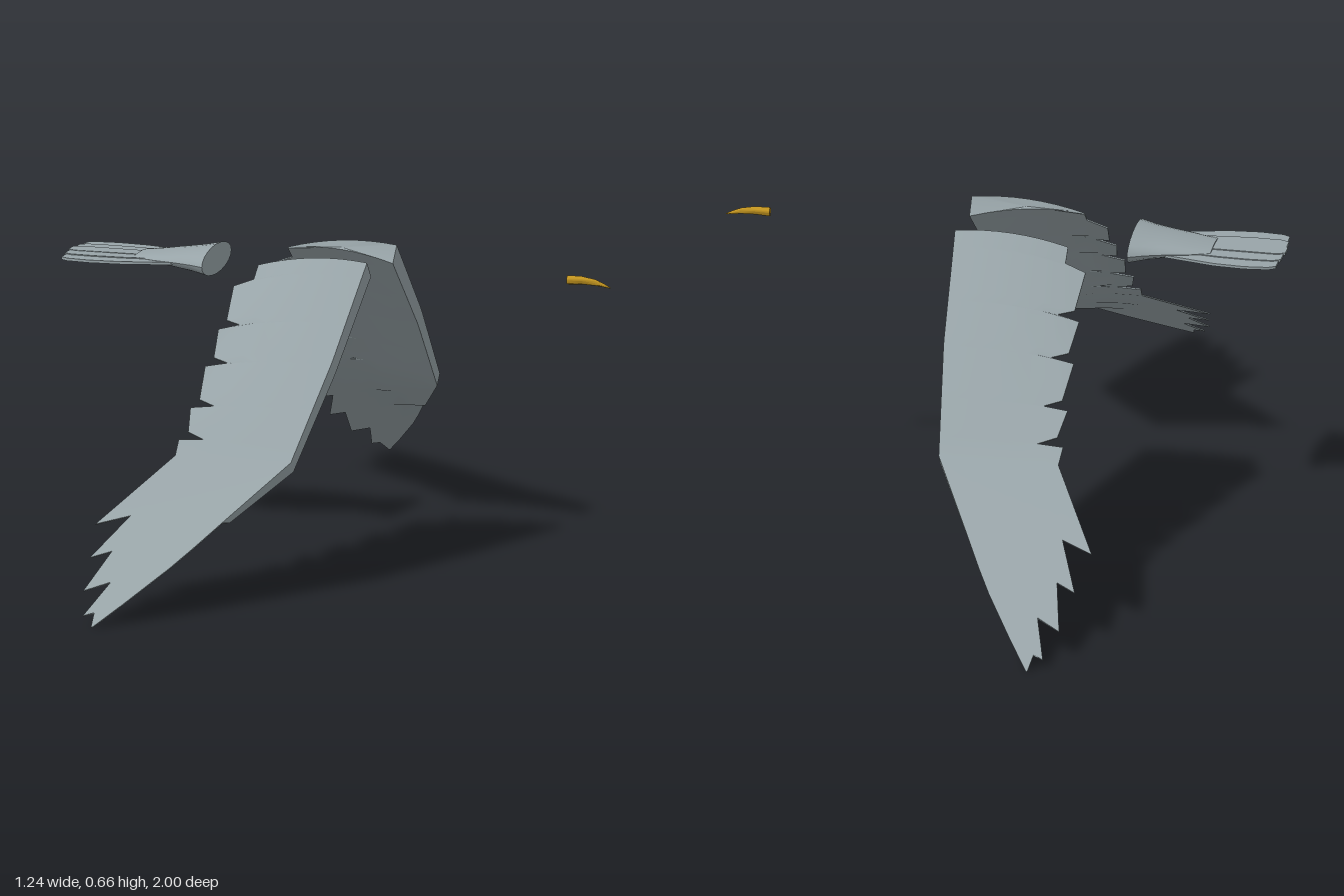
import * as THREE from 'three';
import { toCreasedNormals } from 'three/addons/utils/BufferGeometryUtils.js';

// Piecewise linear lookup in a list of [input, output]
function lookup(table, t) {
  for (let i = 1; i < table.length; i++) {
    const [a, va] = table[i - 1], [b, vb] = table[i];
    if (t <= b) return va + (vb - va) * Math.max(0, (t - a) / (b - a));
  }
  return table[table.length - 1][1];
}

// Skin over closed loops of [x, y, z] points, with fan caps at both ends
function loft(loops, flip = false, crease = 0.5) {
  const n = loops[0].length, pos = loops.flat(2), index = [];
  const tri = (a, b, c) => (flip ? index.push(a, c, b) : index.push(a, b, c));
  for (let i = 0; i < loops.length - 1; i++) {
    for (let j = 0; j < n; j++) {
      const a = i * n + j, b = i * n + (j + 1) % n;
      tri(a, b, b + n);
      tri(a, b + n, a + n);
    }
  }
  [0, loops.length - 1].forEach((row, end) => {
    const c = pos.length / 3;
    for (let k = 0; k < 3; k++) pos.push(loops[row].reduce((s, p) => s + p[k], 0) / n);
    for (let j = 0; j < n; j++) {
      const a = row * n + j, b = row * n + (j + 1) % n;
      if (end) tri(a, b, c); else tri(b, a, c);
    }
  });
  const g = new THREE.BufferGeometry();
  g.setAttribute('position', new THREE.Float32BufferAttribute(pos, 3));
  g.setIndex(index);
  return toCreasedNormals(g, crease);
}

// Wing rules by distance z from the middle
const leadX = [[0.1, 0.095], [0.3, 0.083], [0.5, 0.057], [0.69, -0.043], [0.8, -0.1], [0.92, -0.175], [1, -0.228]];
const height = [[0.1, 0.66], [0.5, 0.288], [1, 0.003]];
const thick = [[0.1, 0.045], [0.5, 0.03], [0.665, 0.018], [0.68, 0.003], [1, 0.003]];
const taper = [[0.1, 0.25], [0.5, 0.2], [0.67, 0.1], [1, 0.1]];

// Sections as [leading z, trailing x, trailing z]
function wingStations() {
  const list = [[0.1, -0.155, 0.1], [0.13, -0.155, 0.13]];
  // stepped feathers of the arm
  const cuts = [0.132, 0.225, 0.305, 0.395, 0.465];
  cuts.forEach((z, i) => {
    list.push([z + 0.002, -0.2 - 0.003 * i, z + 0.002]);
    if (i < cuts.length - 1) {
      const end = cuts[i + 1];
      list.push([end - 0.015, -0.19 - 0.002 * i, end - 0.015], [end, -0.155, end]);
    }
  });
  // fanned feathers of the hand
  list.push(
    [0.5, -0.208, 0.502], [0.54, -0.32, 0.71], [0.57, -0.25, 0.68],
    [0.665, -0.3, 0.805], [0.68, -0.257, 0.783], [0.76, -0.283, 0.9],
    [0.82, -0.23, 0.87], [0.93, -0.26, 0.97], [0.96, -0.238, 0.957], [1, -0.231, 1],
  );
  return list;
}

function wingGeometry(side) {
  const cols = 8;
  const loops = wingStations().map(([zl, xb, zb]) => {
    const xl = lookup(leadX, zl), top = [], bottom = [];
    for (let i = 0; i <= cols; i++) {
      const u = i / cols, x = xl + (xb - xl) * u, z = zl + (zb - zl) * u;
      const camber = Math.max(0, 1 - (z - 0.1) / 0.4) * (x - 0.02) ** 2 * 0.85;
      const y = lookup(height, z) - camber;
      const t = Math.max(0.003, lookup(thick, zl) * (1 - (xl - x) / lookup(taper, zl)));
      top.push([x, y, z * side]);
      bottom.unshift([x, y - 0.8 * t, (z - 0.6 * t) * side]);
    }
    return [...top, ...bottom];
  });
  return loft(loops, side > 0);
}

// Elliptical sections along x as [x, y, half height, half width]
function tube(sections, sides) {
  return loft(sections.map(([x, y, ry, rz]) => Array.from({ length: sides }, (_, i) => {
    const a = (i / sides) * Math.PI * 2;
    return [x, y + ry * Math.sin(a), rz * Math.cos(a)];
  })), false, 0.7);
}

// Thin tail feather bowed out to one side
function tailFeather(s) {
  const w = 0.024, end = -0.62 + Math.abs(s) * 0.004;
  const spread = [[0, 0.022], [0.5, 0.037], [0.75, 0.039], [1, 0.035]];
  const loops = [0, 0.25, 0.5, 0.75, 0.94, 1].map((t, i) => {
    const x = -0.34 + (end + 0.34) * t;
    const c = s * lookup(spread, t), h = w * (i === 5 ? 0.65 : 0.8 + 0.2 * t);
    const y = 0.622 - Math.abs(s) * 0.002 - 0.001 * t + (s > 0 ? 0.001 : 0);
    return [[x, y, c + h], [x, y, c - h], [x, y - 0.006, c - h], [x, y - 0.006, c + h]];
  });
  return loft(loops, true);
}

export function createModel() {
  const group = new THREE.Group();
  const grey = new THREE.MeshStandardMaterial({ color: 0x98a4a8, side: THREE.DoubleSide });
  grey.name = 'featherGrey';
  const gold = new THREE.MeshStandardMaterial({ color: 0xc2941f, side: THREE.DoubleSide });
  gold.name = 'beakGold';
  const add = (name, geometry, material, parent = group) => {
    const mesh = new THREE.Mesh(geometry, material);
    mesh.name = name;
    parent.add(mesh);
  };

  // Wings
  add('frontWing', wingGeometry(1), grey);
  add('backWing', wingGeometry(-1), grey);

  // Tail: flared root and a fan of feathers
  const tail = new THREE.Group();
  tail.name = 'tail';
  group.add(tail);
  add('tailRoot', tube([
    [-0.285, 0.619, 0.033, 0.1], [-0.32, 0.619, 0.026, 0.084],
    [-0.36, 0.619, 0.02, 0.072], [-0.41, 0.619, 0.012, 0.062], [-0.46, 0.619, 0.005, 0.045],
  ], 20), grey, tail);
  for (let s = -2; s <= 2; s++) add('tailFeather', tailFeather(s), grey, tail);

  // Beak
  add('beak', tube([
    [0.522, 0.627, 0.01, 0.009], [0.555, 0.628, 0.009, 0.008],
    [0.585, 0.625, 0.007, 0.005], [0.605, 0.62, 0.004, 0.003], [0.62, 0.615, 0.001, 0.001],
  ], 12), gold);
  return group;
}
